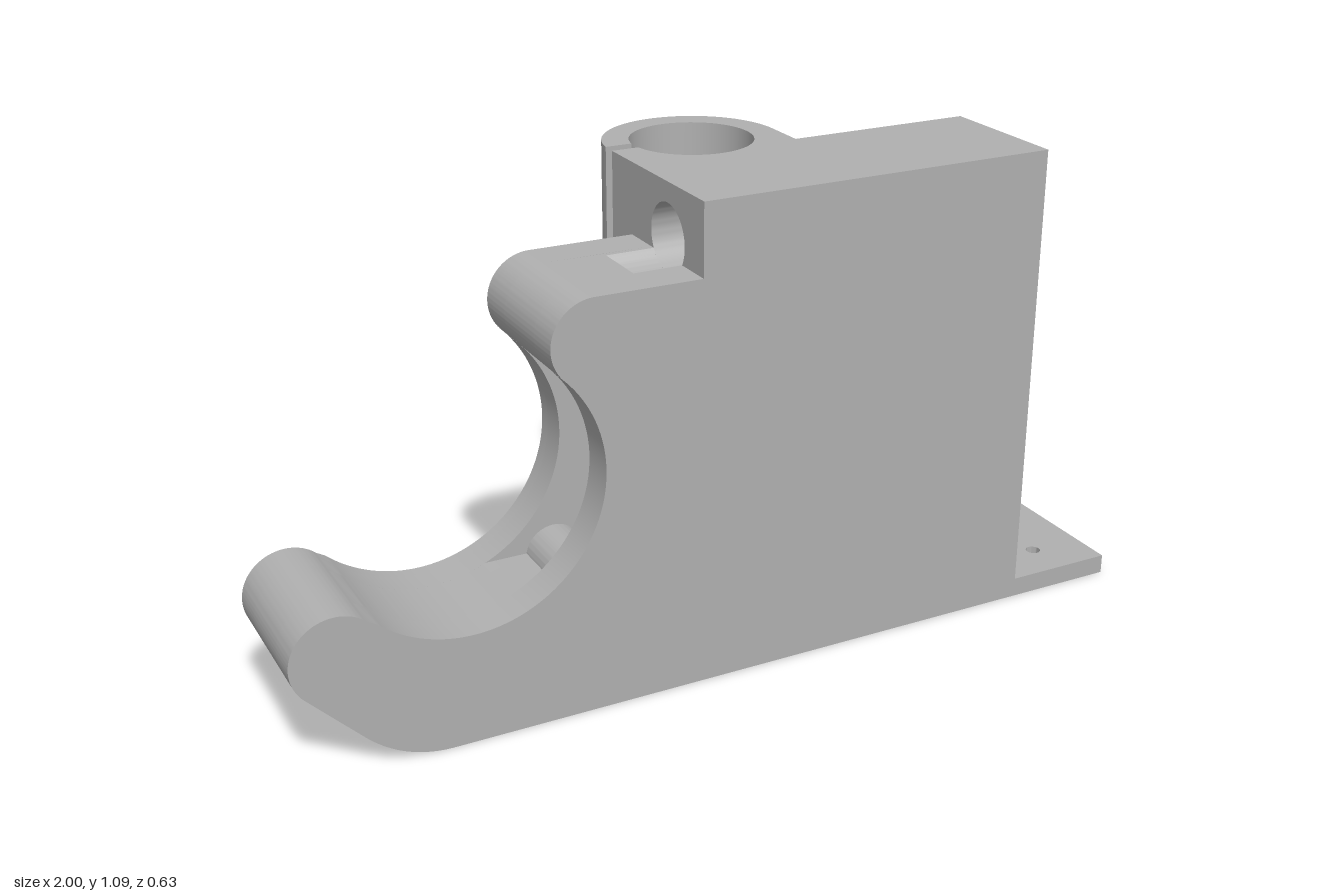
import * as THREE from 'three';
import { toCreasedNormals } from 'three/addons/utils/BufferGeometryUtils.js';

const RIGHT = 0.737, TOP = 1.085, STEP_X = -0.1, STEP_Y = 0.925;
const FRONT = 0.315, BACK = -0.01, SLOT_BACK = 0.081, SLOT_FRONT = 0.233, SKIN = 0.02;
const ROD_Z = 0.157, ROD_R = 0.0755, ROD_TOP = 0.965, ROD_LOW = 0.13, HALF = 0.077;
const RAD = Math.PI / 180;

const plastic = new THREE.MeshStandardMaterial({ color: 0xb0b0b0 });
plastic.name = 'grey plastic';

function punch(shape, holes) {
  for (const [x, y, r] of holes) {
    const hole = new THREE.Path();
    hole.absarc(x, y, r, 0, Math.PI * 2, true);
    shape.holes.push(hole);
  }
  return shape;
}

function polygon(points) {
  return new THREE.Shape(points.map(([x, y]) => new THREE.Vector2(x, y)));
}

// Extrude a shape from a to b along an axis.
// Shape coordinates: z axis -> (x, y), x axis -> (-z, y), y axis -> (x, -z)
function slab(group, name, shape, axis, a, b) {
  let geo = new THREE.ExtrudeGeometry(shape, { depth: b - a, bevelEnabled: false, curveSegments: 32 });
  geo.translate(0, 0, a);
  if (axis === 'x') geo.rotateY(Math.PI / 2);
  if (axis === 'y') geo.rotateX(-Math.PI / 2);
  geo = toCreasedNormals(geo, 0.5);
  const mesh = new THREE.Mesh(geo, plastic);
  mesh.name = name;
  group.add(mesh);
}

function box(group, name, x0, x1, y0, y1, z0, z1) {
  slab(group, name, polygon([[x0, y0], [x1, y0], [x1, y1], [x0, y1]]), 'z', z0, z1);
}

const armHole = [-0.905, 0.265, 0.038];
const lowHole = [-0.34, 0.265, 0.038];
const lugHole = [-0.34, 0.83, 0.038];

// Underside, arm tip and round cutout up to a given cutout angle
function armOutline(right, endAngle) {
  const s = new THREE.Shape();
  s.moveTo(right, 0);
  s.lineTo(-0.67, 0);
  s.quadraticCurveTo(-0.78, 0, -0.86, 0.08);
  s.absarc(-0.905, 0.265, 0.098, 225 * RAD, 48 * RAD, true);
  s.absarc(-0.62, 0.55, 0.3, -132 * RAD, endAngle, false);
  return s;
}

// Full side outline, cut off at x = right
function sideOutline(right) {
  const s = armOutline(right, 47 * RAD);
  s.absarc(-0.34, 0.83, 0.096, 223 * RAD, 90 * RAD, true);
  s.lineTo(STEP_X, STEP_Y);
  if (right > STEP_X) {
    s.lineTo(STEP_X, TOP);
    s.lineTo(right, TOP);
  }
  return punch(s, [armHole, lowHole, lugHole]);
}

// Split clamp seen from above; the wide form adds the nut seat
function clampOutline(wide) {
  const s = new THREE.Shape();
  s.moveTo(STEP_X, -SKIN);
  if (wide) {
    s.lineTo(RIGHT, -SKIN);
    s.absarc(RIGHT - 0.2, 0.115, 0.2, 0, Math.PI / 2, false);
    s.absarc(0.1, 0.115, 0.2, Math.PI / 2, Math.PI - 0.125, false);
  } else {
    s.lineTo(0.3, -SKIN);
    s.absarc(0.1, 0.115, 0.2, 0, Math.PI - 0.125, false);
  }
  s.absarc(0.1, 0.12, 0.138, Math.PI - 0.145, -Math.PI + 0.109, true);
  s.lineTo(STEP_X, 0.105);
  if (wide) punch(s, [[0.5, 0.12, 0.1], [0.465, 0.262, 0.036], [0.64, 0.16, 0.036], [0.36, 0.085, 0.036]]);
  return s;
}

function rodSleeve(group, name, y, x0, x1) {
  const s = polygon([[-ROD_Z - HALF, y - HALF], [-ROD_Z + HALF, y - HALF],
    [-ROD_Z + HALF, y + HALF], [-ROD_Z - HALF, y + HALF]]);
  slab(group, name, punch(s, [[-ROD_Z, y, ROD_R]]), 'x', x0, x1);
}

export function createModel() {
  const model = new THREE.Group();
  model.name = 'rodEndBracket';

  // Solid walls either side of the belt slot
  const walls = new THREE.Group();
  walls.name = 'walls';
  model.add(walls);
  slab(walls, 'frontWall', sideOutline(RIGHT), 'z', SLOT_FRONT, FRONT);
  slab(walls, 'backWall', sideOutline(RIGHT), 'z', SKIN, SLOT_BACK);
  slab(walls, 'backWallArmFace', sideOutline(STEP_X), 'z', BACK, SKIN);
  box(walls, 'backWallPanel', 0.3, RIGHT, 0.18, TOP, BACK, SKIN);

  // Middle layer: slot floor and ceiling with screw bosses
  const core = new THREE.Group();
  core.name = 'slotCore';
  model.add(core);
  const floor = armOutline(RIGHT, Math.asin(-0.275 / 0.3));
  floor.absarc(-0.34, 0.265, 0.065, Math.PI - 0.154, 0.154, true);
  for (const [x, y] of [[RIGHT, 0.275], [RIGHT, ROD_LOW + HALF], [-0.2, ROD_LOW + HALF],
    [-0.2, ROD_LOW - HALF], [RIGHT, ROD_LOW - HALF]]) floor.lineTo(x, y);
  slab(core, 'slotFloor', punch(floor, [armHole, lowHole]), 'z', SLOT_BACK, SLOT_FRONT);

  const ceiling = new THREE.Shape();
  ceiling.moveTo(RIGHT, 0.82);
  ceiling.absarc(-0.34, 0.83, 0.065, -0.154, -Math.PI / 2, true);
  ceiling.absarc(-0.34, 0.83, 0.096, 223 * RAD, 90 * RAD, true);
  for (const [x, y] of [[-0.21, STEP_Y], [-0.21, ROD_TOP - HALF], [RIGHT, ROD_TOP - HALF]]) ceiling.lineTo(x, y);
  slab(core, 'slotCeiling', punch(ceiling, [lugHole]), 'z', SLOT_BACK, SLOT_FRONT);
  box(core, 'roof', STEP_X, RIGHT, ROD_TOP + HALF, TOP, SLOT_BACK, SLOT_FRONT);

  // Round rod sockets, the upper one running out as an open channel
  rodSleeve(core, 'upperRodSocket', ROD_TOP, STEP_X, RIGHT);
  rodSleeve(core, 'lowerRodSocket', ROD_LOW, -0.2, RIGHT);
  const channel = new THREE.Shape();
  channel.moveTo(-ROD_Z - HALF, ROD_TOP - HALF);
  channel.lineTo(-ROD_Z + HALF, ROD_TOP - HALF);
  channel.lineTo(-ROD_Z + HALF, STEP_Y);
  const a = Math.asin((STEP_Y - ROD_TOP) / ROD_R);
  channel.absarc(-ROD_Z, ROD_TOP, ROD_R, a, -Math.PI - a, true);
  channel.lineTo(-ROD_Z - HALF, STEP_Y);
  slab(core, 'rodChannel', channel, 'x', -0.21, STEP_X);

  // Bearing clamp tube on its wide base
  slab(model, 'nutSeat', clampOutline(true), 'y', 0, 0.18);
  slab(model, 'bearingClamp', clampOutline(false), 'y', 0.18, TOP);

  // Thin foot plate with two screw holes
  const foot = polygon([[RIGHT, -FRONT], [0.996, -FRONT], [0.996, 0.045], [RIGHT, 0.045]]);
  slab(model, 'footPlate', punch(foot, [[0.865, -0.045, 0.017], [0.865, -0.215, 0.017]]), 'y', 0, 0.045);

  return model;
}
